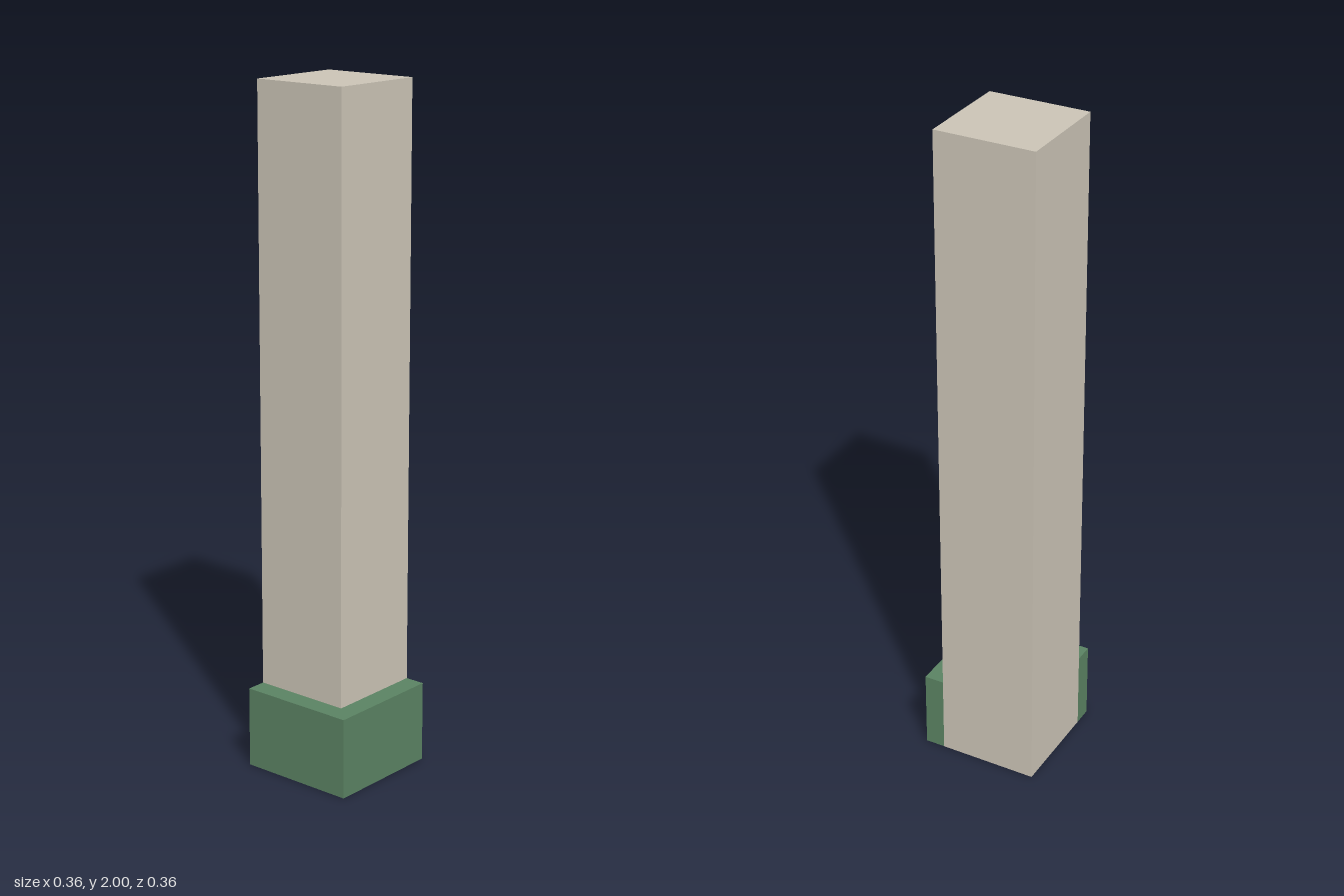
import * as THREE from 'three';

const HALF = 0.18;    // half the footprint
const INNER = 0.12;   // front and right faces of the post
const CUT = 0.03;     // bevel on the post corner inside the base
const BASE_H = 0.24;
const HEIGHT = 2;

// Extrudes a plan given as [x, z] corners upwards from y0 to y1.
function prism(name, plan, y0, y1, material) {
  const shape = new THREE.Shape(plan.map(([x, z]) => new THREE.Vector2(x, -z)));
  const geometry = new THREE.ExtrudeGeometry(shape, { depth: y1 - y0, bevelEnabled: false });
  geometry.rotateX(-Math.PI / 2).translate(0, y0, 0);
  const mesh = new THREE.Mesh(geometry, material);
  mesh.name = name;
  return mesh;
}

export function createModel() {
  const stone = new THREE.MeshStandardMaterial({ color: 0xcac3b5 });
  stone.name = 'warm stone';
  const green = new THREE.MeshStandardMaterial({ color: 0x5a8262 });
  green.name = 'moss green';

  const model = new THREE.Group();
  model.name = 'cornerPost';

  // Bevelled edge shared by the post foot and the base wrap
  const seam = [[-HALF, INNER], [INNER - CUT, INNER], [INNER, INNER - CUT], [INNER, -HALF]];

  // Post foot, inside the wrap
  model.add(prism('postFoot', [...seam, [-HALF, -HALF]], 0, BASE_H, stone));

  // Square post shaft
  const square = [[-HALF, INNER], [INNER, INNER], [INNER, -HALF], [-HALF, -HALF]];
  model.add(prism('postShaft', square, BASE_H, HEIGHT, stone));

  // L-shaped base around the front and right sides
  model.add(prism('baseWrap', [...seam, [HALF, -HALF], [HALF, HALF], [-HALF, HALF]], 0, BASE_H, green));

  return model;
}
